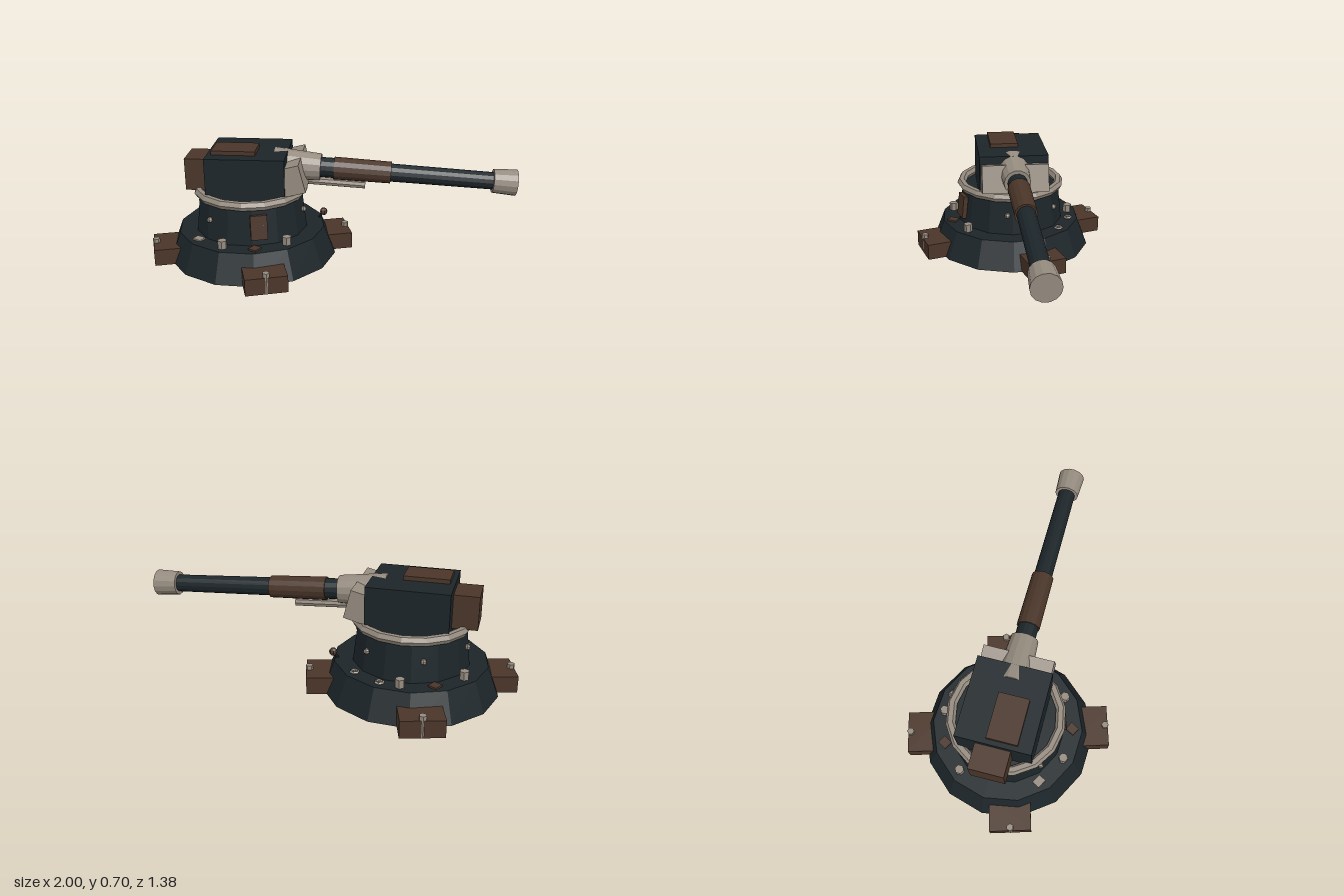
import * as THREE from 'three';

const mat = (color) => new THREE.MeshStandardMaterial({ color, flatShading: true });
const DARK = mat(0x1c2529);
const BROWN = mat(0x4a3529);
const LIGHT = mat(0x958b7f);

function add(parent, name, geometry, material, x = 0, y = 0, z = 0) {
  const mesh = new THREE.Mesh(geometry, material);
  mesh.name = name;
  mesh.position.set(x, y, z);
  parent.add(mesh);
  return mesh;
}

const box = (x, y, z) => new THREE.BoxGeometry(x, y, z);

// Upright cylinder standing on y = 0, with a corner facing +x
const upright = (rTop, rBottom, h, sides) =>
  new THREE.CylinderGeometry(rTop, rBottom, h, sides).rotateY(Math.PI / 2).translate(0, h / 2, 0);

// Cylinder along +x between two stations
const along = (x0, x1, r0, r1, sides = 14) =>
  new THREE.CylinderGeometry(r1, r0, x1 - x0, sides).rotateZ(-Math.PI / 2).translate((x0 + x1) / 2, 0, 0);

function createBase() {
  const base = new THREE.Group();
  base.name = 'base';
  add(base, 'plinth', upright(0.46, 0.53, 0.18, 14), DARK);
  add(base, 'drum', upright(0.325, 0.35, 0.22, 14), DARK, 0, 0.18, 0);

  // Four anchor feet on the diagonals
  for (let i = 0; i < 4; i++) {
    const foot = new THREE.Group();
    foot.name = 'foot';
    foot.rotation.y = Math.PI / 4 + (i * Math.PI) / 2;
    add(foot, 'footBlock', box(0.224, 0.104, 0.25), BROWN, 0.512, 0.052, 0);
    add(foot, 'anchorBolt', upright(0.022, 0.022, 0.13, 6), LIGHT, 0.606, 0, 0);
    base.add(foot);
  }

  // Rivets around the drum
  for (let i = 0; i < 6; i++) {
    const a = THREE.MathUtils.degToRad(40 + i * 60);
    add(base, 'drumRivet', new THREE.SphereGeometry(0.018, 6, 5), LIGHT,
      0.338 * Math.cos(a), 0.308, 0.338 * Math.sin(a));
  }

  // Tall bolts on the ledge
  for (const [x, z] of [[-0.396, -0.017], [-0.198, -0.343], [0.37, 0.14], [0.08, 0.39]]) {
    add(base, 'ledgeBolt', upright(0.028, 0.028, 0.05, 6), LIGHT, x, 0.18, z);
  }
  // Flat nuts at the back
  for (const x of [-0.088, 0.1]) {
    const nut = new THREE.TorusGeometry(0.022, 0.009, 4, 6).rotateX(Math.PI / 2);
    add(base, 'ledgeNut', nut, LIGHT, x, 0.185, -0.387);
    add(base, 'nutCore', upright(0.009, 0.009, 0.012, 6), LIGHT, x, 0.18, -0.387);
  }
  // Small plates on the ledge
  add(base, 'ledgePlate', box(0.06, 0.01, 0.05), LIGHT, -0.118, 0.184, 0.375);
  add(base, 'ledgePatch', box(0.055, 0.012, 0.06), BROWN, -0.337, 0.185, -0.207);
  add(base, 'ledgePatch', box(0.055, 0.012, 0.06), BROWN, 0.256, 0.185, 0.305);

  // Access panel leaning on the drum
  const panel = add(base, 'accessPanel', box(0.1, 0.15, 0.03), BROWN, 0.24, 0.295, 0.24);
  panel.rotation.set(-0.1, Math.PI / 4, 0, 'YXZ');

  // Lever with a ball knob
  const lever = add(base, 'lever', upright(0.008, 0.008, 0.06, 6), DARK, 0.305, 0.17, -0.305);
  lever.rotation.set(-0.35, 0, -0.35);
  add(base, 'leverKnob', new THREE.SphereGeometry(0.025, 8, 6), BROWN, 0.328, 0.217, -0.328);
  return base;
}

function createTurret() {
  const turret = new THREE.Group();
  turret.name = 'turret';
  turret.rotation.y = 0.5;
  add(turret, 'bearingRing', new THREE.TorusGeometry(0.325, 0.029, 6, 16).rotateX(Math.PI / 2), LIGHT, 0, 0.425, 0);
  add(turret, 'housing', box(0.48, 0.275, 0.44), DARK, 0, 0.5375, 0);
  add(turret, 'rearBox', box(0.155, 0.2, 0.206), BROWN, -0.31, 0.535, 0);
  add(turret, 'hatch', box(0.267, 0.03, 0.18), BROWN, -0.078, 0.685, 0.046);

  // Armour block leaning back against the housing
  const shield = add(turret, 'gunShield', box(0.13, 0.175, 0.42), LIGHT, 0.28, 0.544, 0);
  shield.rotation.z = 0.25;

  // Gun, dipped slightly
  const gun = new THREE.Group();
  gun.name = 'gun';
  gun.position.set(0.24, 0.58, 0);
  gun.rotation.z = -0.06;
  add(gun, 'collar', along(-0.09, 0.2, 0.103, 0.083), LIGHT);
  add(gun, 'breechTube', along(0.19, 0.29, 0.062, 0.062), DARK);
  add(gun, 'barrel', along(0.25, 1.3, 0.057, 0.053), DARK);
  add(gun, 'barrelSleeve', along(0.28, 0.63, 0.07, 0.067), BROWN);
  add(gun, 'muzzle', along(1.25, 1.392, 0.073, 0.081), LIGHT);
  add(gun, 'recoilCylinder', along(0.0, 0.48, 0.026, 0.026, 8), LIGHT, 0, -0.092, 0);
  turret.add(gun);
  return turret;
}

export function createModel() {
  const model = new THREE.Group();
  model.name = 'gunTurret';
  const body = new THREE.Group();
  body.name = 'emplacement';
  body.position.set(-0.47, 0, 0.16);
  body.add(createBase(), createTurret());
  model.add(body);
  return model;
}
